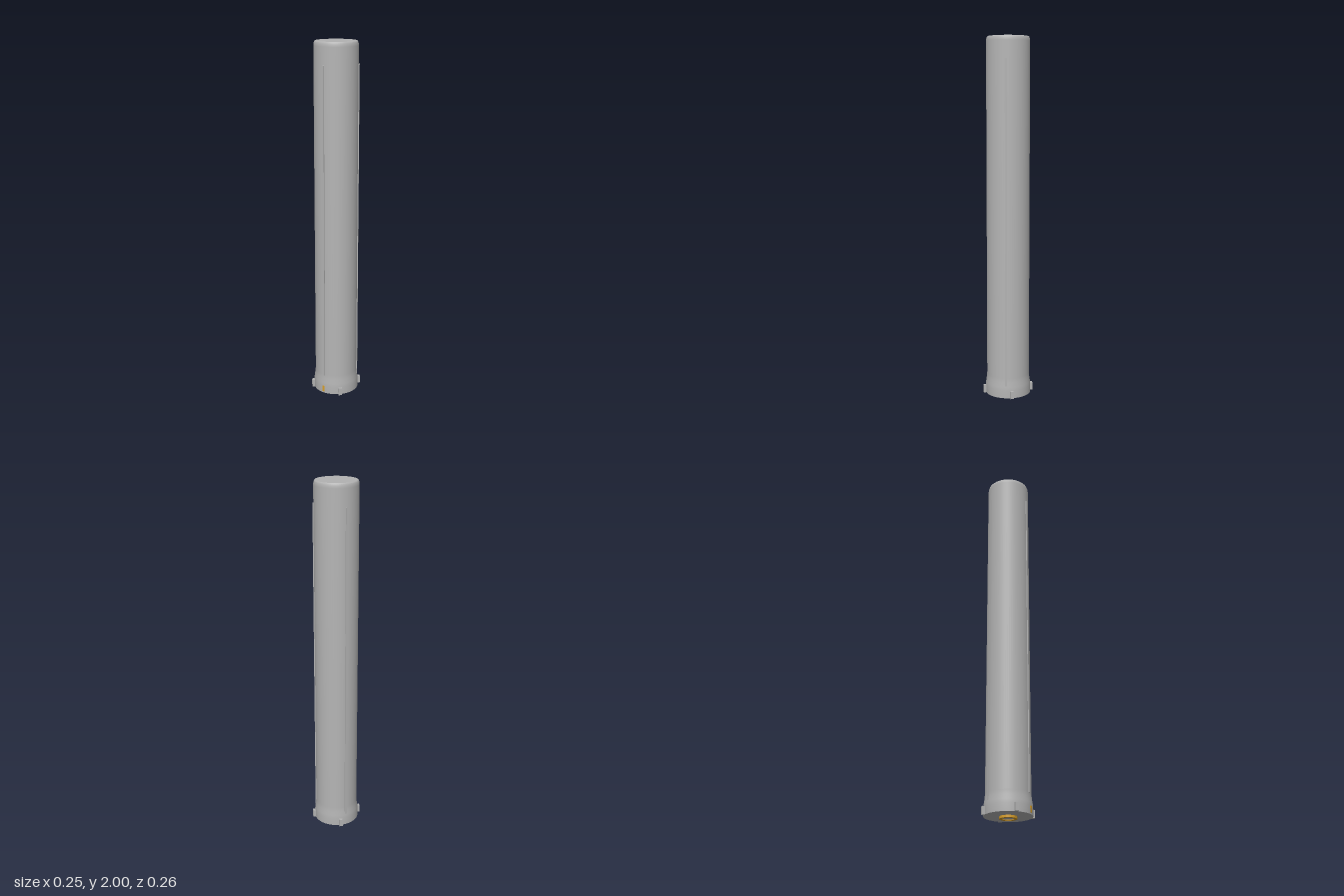
import * as THREE from 'three';
import { toCreasedNormals } from 'three/addons/utils/BufferGeometryUtils.js';

export function createModel() {
  const model = new THREE.Group();
  model.name = 'canister';
  const grey = new THREE.MeshStandardMaterial({ color: 0xb2b2b2 });
  grey.name = 'casing grey';
  const gold = new THREE.MeshStandardMaterial({ color: 0xd9a02b });
  gold.name = 'contact gold';

  const add = (name, geometry, material, parent = model) => {
    const mesh = new THREE.Mesh(geometry, material);
    mesh.name = name;
    parent.add(mesh);
    return mesh;
  };
  const lathe = (points) => toCreasedNormals(
    new THREE.LatheGeometry(points.map(([r, y]) => new THREE.Vector2(r, y)), 64), 0.5);

  // A box standing on the casing, turned to face outward at an angle from the front
  const addRadialBox = (name, angle, [w, inner, outer], [y0, y1], material) => {
    const pivot = new THREE.Group();
    pivot.name = name + 'Mount';
    pivot.rotation.y = angle;
    model.add(pivot);
    const box = add(name, new THREE.BoxGeometry(w, y1 - y0, outer - inner), material, pivot);
    box.position.set(0, (y0 + y1) / 2, (inner + outer) / 2);
  };

  // Casing: flared foot, straight tube, rounded top rim
  add('casing', lathe([
    [0, 0.012], [0.127, 0.012], [0.127, 0.055], [0.125, 0.075], [0.121, 0.1], [0.119, 0.125],
    [0.119, 1.975], [0.118, 1.986], [0.115, 1.996], [0.111, 2], [0, 2],
  ]), grey);

  // Three guide rails a third of a turn apart, the front one starting higher
  for (let i = 0; i < 3; i++) {
    addRadialBox('guideRail', i * Math.PI * 2 / 3, [0.012, 0.11, 0.124], [i ? 0.08 : 0.12, 1.88], grey);
  }

  // Four locking lugs around the foot
  for (let i = 0; i < 4; i++) {
    addRadialBox('lockingLug', Math.PI / 4 + i * Math.PI / 2, [0.02, 0.115, 0.141], [0.012, 0.055], grey);
  }

  // Gold index key on the front of the foot
  addRadialBox('indexKey', 0, [0.014, 0.12, 0.129], [0.02, 0.055], gold);

  // Gold contact ring and grey centre contact under the foot
  add('contactRing', lathe([[0.031, 0.014], [0.031, 0], [0.046, 0], [0.046, 0.014]]), gold);
  add('centreContact', new THREE.CylinderGeometry(0.031, 0.031, 0.01, 48), grey).position.y = 0.009;

  return model;
}
